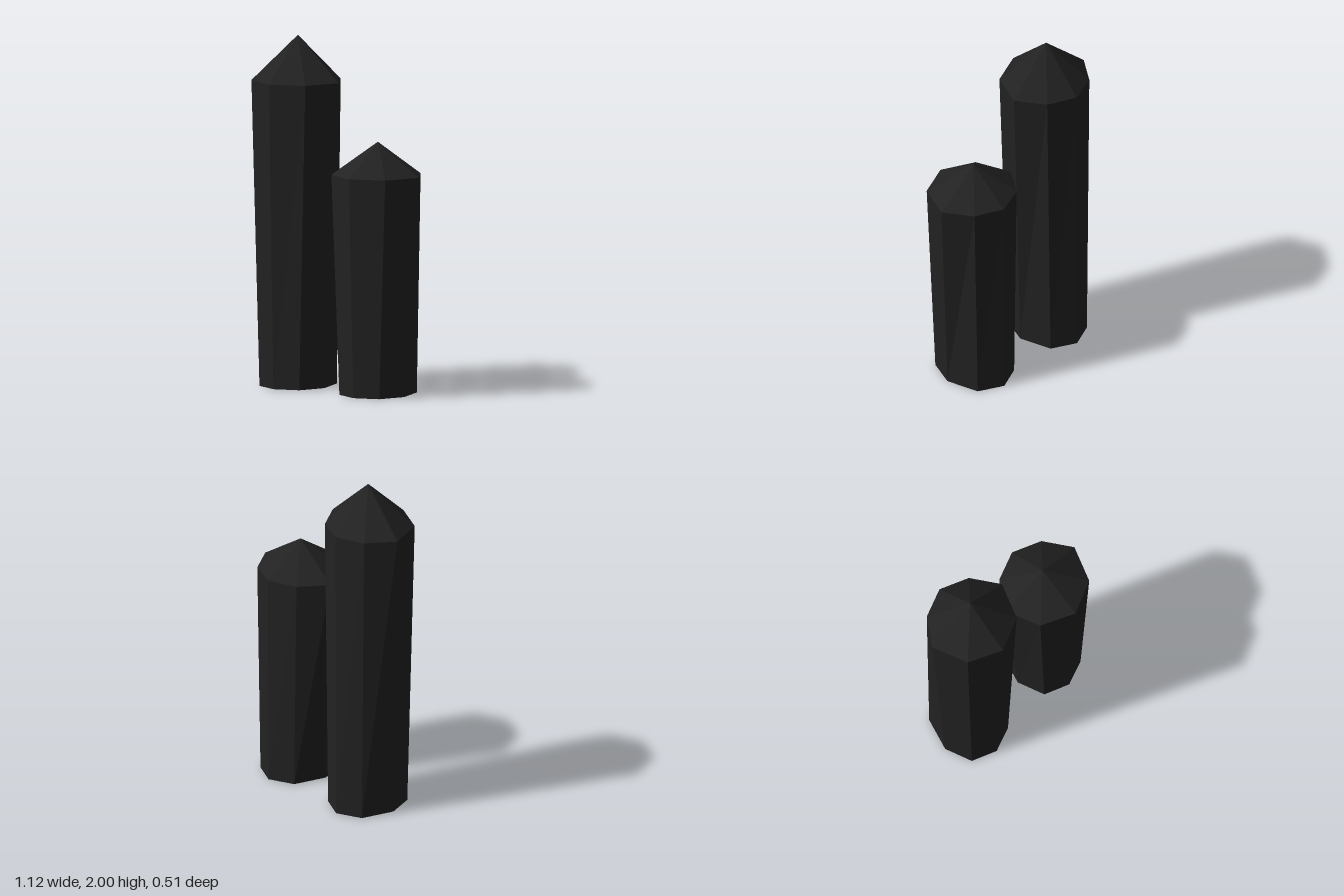
import * as THREE from 'three';

// Half outlines [x, z] from front to back, mirrored into eight-sided rings
const BASE = [[0, 0.21], [0.143, 0.155], [0.2, -0.002], [0.143, -0.19], [0, -0.257]];
const SHOULDER = [[0, 0.257], [0.193, 0.17], [0.274, -0.033], [0.166, -0.19], [0, -0.257]];

function ring(half, cx, y) {
  const mirrored = half.slice(1, -1).reverse().map(([x, z]) => [-x, z]);
  return [...half, ...mirrored].map(([x, z]) => new THREE.Vector3(cx + x, y, z));
}

function crystalGeometry(baseX, topX, shoulderY, tipY) {
  const base = ring(BASE, baseX, 0);
  const top = ring(SHOULDER, topX, shoulderY);
  const tip = new THREE.Vector3(topX, tipY, -0.01);
  const centre = new THREE.Vector3(baseX, 0, 0);
  const points = [];
  base.forEach((b0, i) => {
    const j = (i + 1) % base.length;
    const b1 = base[j], t0 = top[i], t1 = top[j];
    points.push(b0, b1, t1, b0, t1, t0); // flared side
    points.push(t0, t1, tip);            // pointed cap
    points.push(b1, b0, centre);         // flat underside
  });
  const geometry = new THREE.BufferGeometry().setFromPoints(points);
  geometry.computeVertexNormals();
  return geometry;
}

export function createModel() {
  const group = new THREE.Group();
  group.name = 'crystalPair';
  const material = new THREE.MeshStandardMaterial({ color: 0x222222, flatShading: true });

  const crystals = [
    ['tallCrystal', -0.292, -0.288, 1.745, 2],
    ['shortCrystal', 0.281, 0.285, 1.255, 1.44],
  ];
  for (const [name, baseX, topX, shoulderY, tipY] of crystals) {
    const mesh = new THREE.Mesh(crystalGeometry(baseX, topX, shoulderY, tipY), material);
    mesh.name = name;
    group.add(mesh);
  }
  return group;
}
